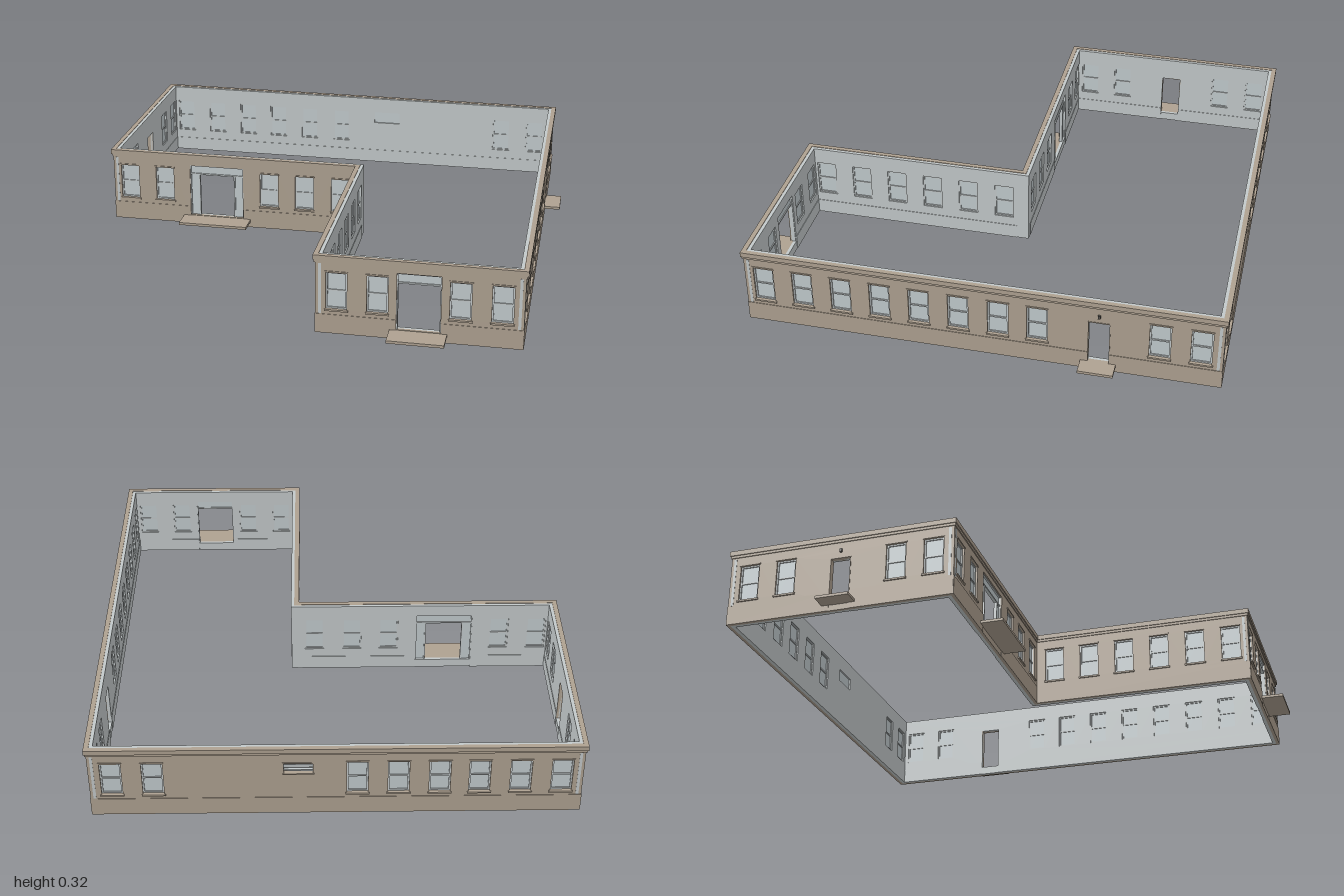
import * as THREE from 'three';

const mat = (name, color) => {
  const m = new THREE.MeshStandardMaterial({ color });
  m.name = name;
  return m;
};

export function createModel() {
  const masonry = mat('tan masonry', 0xaea191);
  const plaster = mat('pale grey plaster', 0xc3c9ca);
  const glass = mat('window glass', 0xc2cbce);
  const dark = mat('dark metal', 0x55524e);

  const SKIN = 0.012, LINING = 0.013, TOP = 0.318;
  const building = new THREE.Group();
  building.name = 'building';

  const add = (parent, geometry, material, name) => {
    const mesh = new THREE.Mesh(geometry, material);
    mesh.name = name;
    parent.add(mesh);
    return mesh;
  };
  // box given by its limits
  const block = (parent, name, material, x0, x1, y0, y1, z0, z1) =>
    add(parent, new THREE.BoxGeometry(x1 - x0, y1 - y0, z1 - z0), material, name)
      .position.set((x0 + x1) / 2, (y0 + y1) / 2, (z0 + z1) / 2);
  const rectPath = (path, x0, x1, y0, y1) =>
    path.moveTo(x0, y0).lineTo(x1, y0).lineTo(x1, y1).lineTo(x0, y1).closePath();

  // wall layer with holes for the openings
  const panel = (parent, name, material, x0, x1, zBack, depth, openings) => {
    const shape = rectPath(new THREE.Shape(), x0, x1, 0, TOP);
    for (const o of openings) {
      shape.holes.push(rectPath(new THREE.Path(), o.u - o.w / 2, o.u + o.w / 2, o.y0, o.y1));
    }
    const geo = new THREE.ExtrudeGeometry(shape, { depth, bevelEnabled: false });
    add(parent, geo, material, name).position.z = zBack;
  };

  // four bars round an opening
  const surround = (parent, name, material, x0, x1, y0, y1, t, z0, z1) => {
    block(parent, name, material, x0, x0 + t, y0, y1, z0, z1);
    block(parent, name, material, x1 - t, x1, y0, y1, z0, z1);
    block(parent, name, material, x0 + t, x1 - t, y1 - t, y1, z0, z1);
  };

  const fillOpening = (wall, o) => {
    const g = new THREE.Group();
    g.name = o.kind;
    g.position.x = o.u;
    wall.add(g);
    const h = o.w / 2, { y0, y1 } = o;
    if (o.kind === 'window') {
      block(g, 'pane', glass, -h, h, y0, y1, -0.016, -0.012);
      surround(g, 'windowFrame', plaster, -h, h, y0, y1, 0.006, -0.02, -0.007);
      block(g, 'bottomRail', plaster, -h, h, y0, y0 + 0.006, -0.02, -0.007);
      const mid = (y0 + y1) / 2;
      block(g, 'meetingRail', plaster, -h, h, mid - 0.003, mid + 0.003, -0.02, -0.008);
      block(g, 'sill', masonry, -h - 0.005, h + 0.005, y0 - 0.007, y0, -0.008, 0.006);
      block(g, 'lintel', masonry, -h - 0.004, h + 0.004, y1, y1 + 0.006, -0.008, 0.003);
    } else if (o.kind === 'vent') {
      block(g, 'ventBack', glass, -h, h, y0, y1, -0.018, -0.014);
      surround(g, 'ventFrame', masonry, -h, h, y0, y1, 0.005, -0.014, 0.002);
      block(g, 'ventSill', masonry, -h, h, y0 - 0.005, y0, -0.014, 0.004);
      for (let i = 1; i < 4; i++) {
        const y = y0 + (y1 - y0) * i / 4;
        block(g, 'louvre', plaster, -h, h, y - 0.002, y + 0.002, -0.014, -0.003);
      }
    } else if (o.kind === 'sideDoorway') {
      surround(g, 'doorFrame', masonry, -h - 0.003, h + 0.003, y0, y1 + 0.003, 0.003, -0.025, 0.002);
      block(g, 'doorLamp', dark, -0.005, 0.005, 0.247, 0.261, 0, 0.008);
      block(g, 'doorstep', masonry, -0.068, 0.068, 0.024, 0.035, 0, 0.068);
    } else {
      // wide entrance: transom, optional side lights, open doorway
      const d = o.door / 2;
      block(g, 'transom', glass, -h, h, 0.23, y1, -0.016, -0.012);
      block(g, 'transomBar', plaster, -h, h, 0.225, 0.231, -0.02, -0.007);
      surround(g, 'entranceFrame', plaster, -h, h, y0, y1, 0.004, -0.022, -0.005);
      if (h - d > 0.01) {
        for (const s of [-1, 1]) {
          const a = s * d, b = s * h;
          block(g, 'sideLight', glass, Math.min(a, b), Math.max(a, b), y0, 0.23, -0.016, -0.012);
          block(g, 'doorPost', plaster, a - 0.003, a + 0.003, y0, 0.23, -0.02, -0.007);
        }
      }
      block(g, 'doorstep', masonry, -o.step / 2, o.step / 2, 0.025, 0.036, 0, 0.093);
    }
  };

  const wins = (...at) => at.map(c => ({ kind: 'window', c, w: 0.08, y0: 0.1, y1: 0.25 }));
  const sideDoor = { kind: 'sideDoorway', c: -0.508, w: 0.08, y0: 0.035, y1: 0.222 };
  const entrance = (c, w, door, step) => ({ kind: 'entrance', c, w, door, step, y0: 0.038, y1: 0.268 });
  const vent = { kind: 'vent', c: 0.142, w: 0.12, y0: 0.198, y1: 0.25 };
  const wingRow = [0.81, 0.655, 0.5, 0.345, 0.19, 0.035];
  const Q = Math.PI / 2;

  // corner points in order, turn angle, and whether each end is the inner corner of the L
  const walls = [
    { name: 'frontWall', p: [-0.93, -0.045], len: 1.08, r: 0, axis: 'x', inner: [0, 1],
      open: [...wins(-0.857, -0.7, -0.235, -0.08, 0.078), entrance(-0.468, 0.236, 0.156, 0.298)] },
    { name: 'courtWall', p: [0.15, -0.045], len: 0.93, r: -Q, axis: 'z', inner: [1, 0], open: wins(...wingRow) },
    { name: 'wingFrontWall', p: [0.15, 0.885], len: 0.78, r: 0, axis: 'x', inner: [0, 0],
      open: [...wins(0.23, 0.385, 0.695, 0.85), entrance(0.54, 0.166, 0.16, 0.216)] },
    { name: 'leftWall', p: [0.93, 0.885], len: 1.86, r: Q, axis: 'z', inner: [0, 0],
      open: [...wins(...wingRow, -0.12, -0.272, -0.738, -0.893), sideDoor] },
    { name: 'backWall', p: [0.93, -0.975], len: 1.86, r: 2 * Q, axis: 'x', inner: [0, 0],
      open: [...wins(0.846, 0.69, -0.08, -0.235, -0.39, -0.54, -0.695, -0.85), vent] },
    { name: 'rightWall', p: [-0.93, -0.975], len: 0.93, r: -Q, axis: 'z', inner: [0, 0],
      open: [...wins(-0.893, -0.738, -0.28, -0.127), sideDoor] },
  ];

  for (const w of walls) {
    const wall = new THREE.Group();
    wall.name = w.name;
    wall.position.set(w.p[0], 0, w.p[1]);
    wall.rotation.y = w.r;
    building.add(wall);
    const start = w.axis === 'x' ? w.p[0] : w.p[1];
    const openings = w.open.map(o => ({ ...o, u: Math.abs(o.c - start) }));
    const [a, b] = w.inner;
    panel(wall, 'outerSkin', masonry, a ? -SKIN : 0, w.len + (b ? SKIN : 0), -SKIN, SKIN, openings);
    const depth = SKIN + LINING;
    const l0 = a ? -depth : SKIN, l1 = w.len + (b ? depth : -SKIN);
    panel(wall, 'innerLining', plaster, l0, l1, -depth, LINING, openings);
    openings.forEach(o => fillOpening(wall, o));

    // plinth and skirting, broken at the doorways
    const doors = openings.filter(o => o.y0 < 0.08).sort((m, n) => m.u - n.u);
    let from = 0;
    for (const d of [...doors, { u: w.len, w: 0 }]) {
      const to = d.u - d.w / 2;
      block(wall, 'plinth', masonry, from, to, 0, 0.078, 0, 0.002);
      block(wall, 'skirting', plaster, Math.max(from, depth), Math.min(to, w.len - (b ? 0 : depth)),
        0.0, 0.06, -depth - 0.002, -depth);
      from = d.u + d.w / 2;
    }
    // pale strips at the outer corners
    if (!a) block(wall, 'cornerStrip', plaster, 0.011, 0.022, 0.08, 0.285, 0, 0.001);
    if (!b) block(wall, 'cornerStrip', plaster, w.len - 0.022, w.len - 0.011, 0.08, 0.285, 0, 0.001);
  }

  // cornice rings following the L-shaped plan
  const outline = (path, d) => path.setFromPoints([
    [-0.93 - d, 0.045 - d], [0.15 - d, 0.045 - d], [0.15 - d, -0.885 - d],
    [0.93 + d, -0.885 - d], [0.93 + d, 0.975 + d], [-0.93 - d, 0.975 + d],
  ].map(([x, y]) => new THREE.Vector2(x, y)));
  for (const [y, h, d] of [[0.3, 0.02, 0.008], [0.29, 0.01, 0.004]]) {
    const shape = outline(new THREE.Shape(), d);
    shape.holes.push(outline(new THREE.Path(), -SKIN + 0.001));
    const ring = new THREE.ExtrudeGeometry(shape, { depth: h, bevelEnabled: false });
    ring.rotateX(-Q);
    add(building, ring, masonry, 'cornice').position.y = y;
  }
  return building;
}
